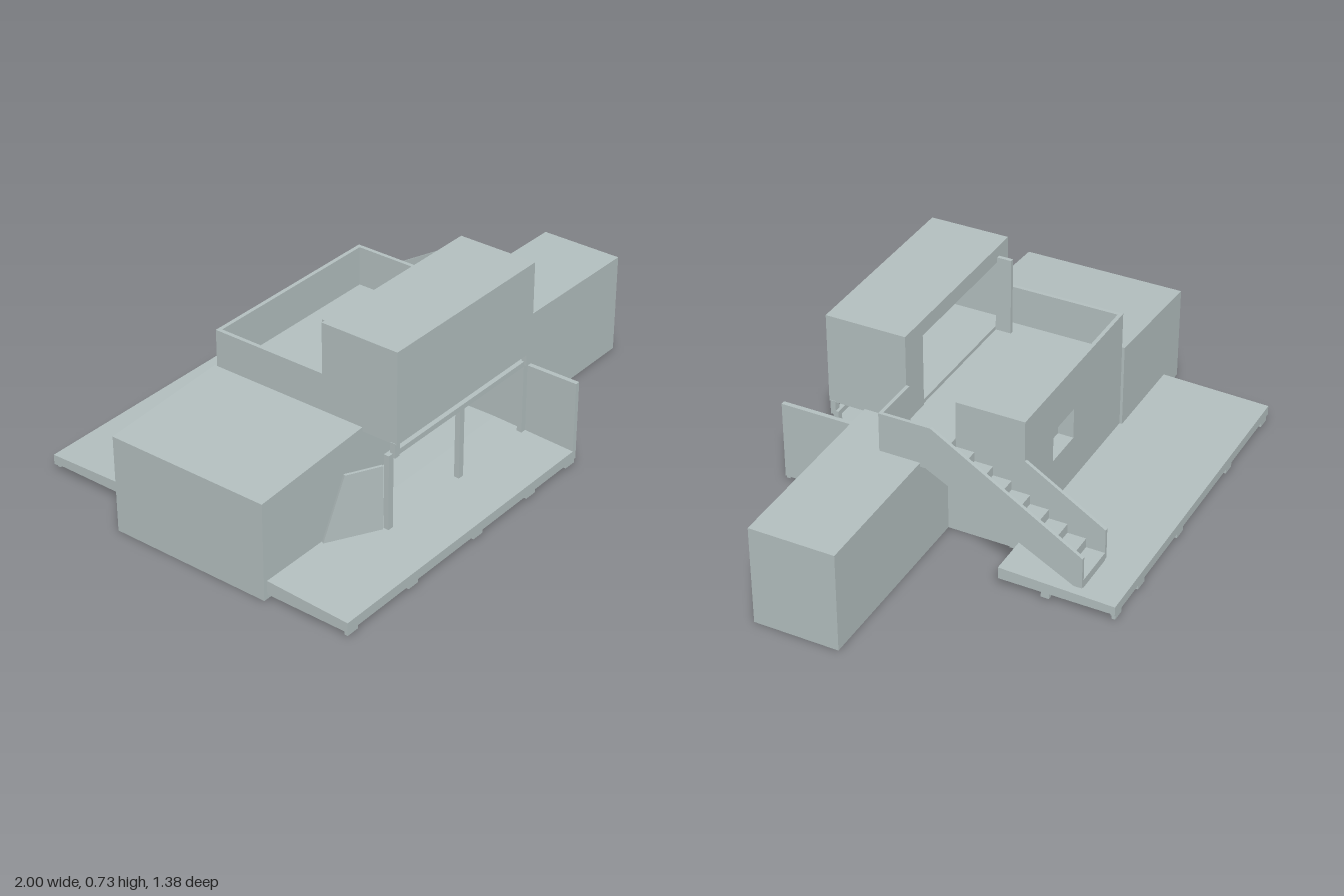
import * as THREE from 'three';

export function createModel() {
  const model = new THREE.Group();
  const concrete = new THREE.MeshStandardMaterial({ color: 0xb3bfbf });
  concrete.name = 'pale concrete';

  const add = (name, geometry, parent = model) => {
    const mesh = new THREE.Mesh(geometry, concrete);
    mesh.name = name;
    parent.add(mesh);
    return mesh;
  };
  // Box given by its extents along each axis
  const box = (name, x0, x1, y0, y1, z0, z1, parent = model) => {
    const g = new THREE.BoxGeometry(x1 - x0, y1 - y0, z1 - z0);
    g.translate((x0 + x1) / 2, (y0 + y1) / 2, (z0 + z1) / 2);
    return add(name, g, parent);
  };
  const toVectors = (points) => points.map(([a, b]) => new THREE.Vector2(a, b));
  // Profile of [x, y] points, with optional hole, extruded from z0 to z1
  const frontProfile = (name, points, z0, z1, { hole, parent } = {}) => {
    const shape = new THREE.Shape(toVectors(points));
    if (hole) shape.holes.push(new THREE.Path(toVectors(hole)));
    const g = new THREE.ExtrudeGeometry(shape, { depth: z1 - z0, bevelEnabled: false });
    g.translate(0, 0, z0);
    return add(name, g, parent);
  };
  // Profile of [z, y] points extruded from x0 to x1
  const sideProfile = (name, points, x0, x1, parent = model) => {
    const shape = new THREE.Shape(toVectors(points));
    const g = new THREE.ExtrudeGeometry(shape, { depth: x1 - x0, bevelEnabled: false });
    g.rotateY(-Math.PI / 2);
    g.translate(x1, 0, 0);
    return add(name, g, parent);
  };
  const group = (name) => {
    const g = new THREE.Group();
    g.name = name;
    model.add(g);
    return g;
  };

  // Ground floor volumes; the wing roofs rise slightly towards the middle
  frontProfile('westWing', [[-1, 0], [-0.5, 0], [-0.5, 0.4], [-1, 0.367]], -0.27, 0.36);
  frontProfile('eastWing', [[0.25, 0], [1, 0], [1, 0.383], [0.25, 0.393]], 0.04, 0.36);
  box('mainBody', -0.5, 0.25, 0, 0.39, -0.2, 0.24);
  box('porchFloor', -0.5, 0.25, 0, 0.07, 0.24, 0.355);

  // Back wall with a small recessed window
  frontProfile('backWall', [[-0.5, 0], [0.255, 0], [0.255, 0.39], [-0.5, 0.39]], -0.26, -0.2,
    { hole: [[-0.11, 0.25], [-0.11, 0.37], [0.05, 0.37], [0.05, 0.25]] });

  // Upper floor: a shell open to the terrace
  const upper = group('upperFloor');
  box('upperFloorSlab', -0.5, 0.25, 0.385, 0.405, 0.2, 0.5, upper);
  box('upperRoof', -0.5, 0.25, 0.71, 0.73, 0.2, 0.5, upper);
  box('upperFrontWall', -0.5, 0.25, 0.39, 0.73, 0.48, 0.5, upper);
  box('upperWestWall', -0.5, -0.48, 0.39, 0.73, 0.2, 0.5, upper);
  box('upperEastWall', 0.23, 0.25, 0.39, 0.73, 0.2, 0.5, upper);
  box('openingLintel', -0.5, 0.25, 0.67, 0.73, 0.195, 0.215, upper);
  box('openingWestJamb', -0.5, -0.45, 0.39, 0.73, 0.195, 0.215, upper);
  box('openingEastJamb', 0.13, 0.25, 0.39, 0.73, 0.195, 0.215, upper);
  box('terraceDoor', -0.43, -0.415, 0.39, 0.69, 0.14, 0.2, upper);

  // Terrace parapets
  const terrace = group('terraceParapet');
  box('backParapet', -0.5, 0.26, 0.385, 0.54, -0.26, -0.245, terrace);
  box('westParapet', -0.5, -0.485, 0.38, 0.54, -0.26, 0.2, terrace);
  box('eastParapet', 0.25, 0.265, 0.385, 0.54, -0.26, 0, terrace);

  // Outside stair with landing, solid side panels and steps
  const stair = group('stair');
  sideProfile('outerStairPanel', [[0.195, 0.38], [0.195, 0.54], [0, 0.54], [-0.56, 0.2],
    [-0.56, 0.08], [-0.53, 0.08], [0.03, 0.38]], 0.427, 0.44, stair);
  sideProfile('innerStairPanel', [[0, 0.38], [0, 0.54], [-0.56, 0.2], [-0.56, 0.08],
    [-0.53, 0.08], [0.03, 0.38]], 0.25, 0.263, stair);
  box('landingFloor', 0.25, 0.44, 0.375, 0.395, 0, 0.195, stair);
  box('landingFrontParapet', 0.25, 0.44, 0.385, 0.54, 0.182, 0.195, stair);
  const steps = 8;
  const stepProfile = [[0.03, 0.38], [0, 0.395]];
  for (let i = 0; i < steps; i++) {
    const y = 0.395 - (i + 1) * 0.036;
    stepProfile.push([-i * 0.07, y], [-(i + 1) * 0.07, y]);
  }
  stepProfile.push([-0.56, 0.075], [-0.53, 0.075]);
  sideProfile('stairSteps', stepProfile, 0.263, 0.427, stair);

  // Decks: thin sloping plates with a skirt on the outer edges and short feet
  const backDeck = group('backDeck');
  sideProfile('backDeckPlate', [[-0.26, 0.055], [-0.26, 0.075], [-0.69, 0.062], [-0.69, 0.045]],
    -0.87, 0.46, backDeck);
  box('backDeckSkirt', -0.87, 0.46, 0.025, 0.06, -0.69, -0.675, backDeck);
  box('backDeckWestSkirt', -0.87, -0.855, 0.03, 0.06, -0.69, -0.27, backDeck);
  box('backDeckEastSkirt', 0.445, 0.46, 0.03, 0.06, -0.69, -0.26, backDeck);
  for (const x of [-0.83, -0.5, -0.07, 0.25, 0.43]) {
    box('backDeckFoot', x - 0.025, x + 0.025, 0.008, 0.03, -0.69, -0.677, backDeck);
  }
  box('backDeckSideFoot', 0.445, 0.46, 0.01, 0.035, -0.45, -0.42, backDeck);

  const frontDeck = group('frontDeck');
  sideProfile('frontDeckPlate', [[0.355, 0.05], [0.685, 0.038], [0.685, 0.055], [0.355, 0.07]],
    -0.985, 0.26, frontDeck);
  box('frontDeckSkirt', -0.985, 0.26, 0.018, 0.05, 0.672, 0.685, frontDeck);
  box('frontDeckWestSkirt', -0.985, -0.972, 0.018, 0.055, 0.36, 0.685, frontDeck);
  for (const x of [-0.96, -0.65, -0.3, 0, 0.235]) {
    box('frontDeckFoot', x - 0.025, x + 0.025, 0.006, 0.02, 0.672, 0.685, frontDeck);
  }

  // Porch: side wall, posts, top rail and the angled door panel
  const porch = group('porch');
  box('porchSideWall', 0.25, 0.268, 0.02, 0.325, 0.36, 0.685, porch);
  for (const x of [-0.51, -0.125, 0.24]) {
    box('porchPost', x - 0.012, x + 0.012, 0.05, 0.345, 0.465, 0.485, porch);
  }
  for (const x of [-0.49, 0.24]) {
    box('porchHanger', x - 0.012, x + 0.012, 0.335, 0.39, 0.475, 0.495, porch);
  }
  box('porchRail', -0.522, 0.252, 0.33, 0.35, 0.465, 0.485, porch);
  const door = frontProfile('angledPanel', [[0, 0], [0.215, 0], [0.215, 0.25], [0.08, 0.25]],
    0, 0.01, { parent: porch });
  door.position.set(-0.715, 0.06, 0.36);
  door.rotation.y = -0.484;

  return model;
}
